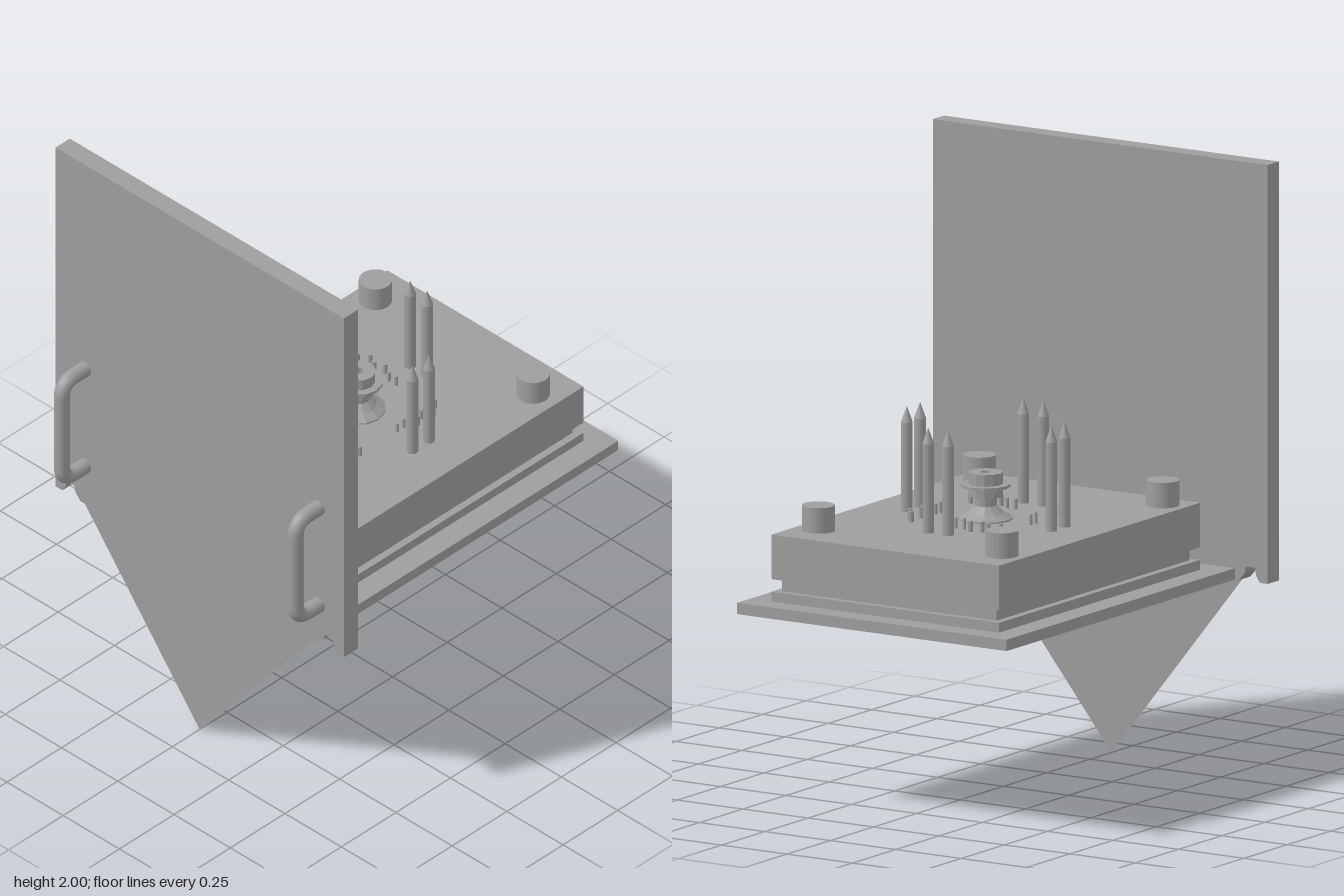
import * as THREE from 'three';

const material = new THREE.MeshStandardMaterial({ color: 0x9e9e9e });
const sheetMaterial = new THREE.MeshStandardMaterial({ color: 0x9e9e9e, side: THREE.DoubleSide });

function add(parent, geometry, name, x = 0, y = 0, z = 0, mat = material) {
  const mesh = new THREE.Mesh(geometry, mat);
  mesh.name = name;
  mesh.position.set(x, y, z);
  parent.add(mesh);
  return mesh;
}

const toShape = (points) => new THREE.Shape(points.map(([x, y]) => new THREE.Vector2(x, y)));

const rectangle = (Type, x, z0, z1) => new Type([
  new THREE.Vector2(-x, -z1), new THREE.Vector2(x, -z1),
  new THREE.Vector2(x, -z0), new THREE.Vector2(-x, -z0),
]);

// Horizontal rectangular frame between heights y0 and y1, with an optional opening
function frame(parent, name, outer, inner, y0, y1) {
  const shape = rectangle(THREE.Shape, ...outer);
  if (inner) shape.holes.push(rectangle(THREE.Path, ...inner));
  const geometry = new THREE.ExtrudeGeometry(shape, { depth: y1 - y0, bevelEnabled: false });
  geometry.rotateX(-Math.PI / 2);
  add(parent, geometry, name, 0, y0, 0);
}

// Upright cylinder between two heights
function rod(parent, name, r, x, z, y0, y1, sides) {
  add(parent, new THREE.CylinderGeometry(r, r, y1 - y0, sides), name, x, (y0 + y1) / 2, z);
}

// Thick door panel with a notch near each lower corner
function panelGeometry() {
  const half = [[0.51, 0.635], [0.53, 0.635], [0.552, 0.66], [0.556, 0.682],
    [0.592, 0.682], [0.595, 0.657], [0.61, 0.635], [0.64, 0.635], [0.64, 2]];
  const mirrored = half.map(([x, y]) => [-x, y]).reverse();
  return new THREE.ExtrudeGeometry(toShape([...half, ...mirrored]), { depth: 0.065, bevelEnabled: false });
}

// Rounded D-shaped pull handle
function handleGeometry() {
  const v = (y, z) => new THREE.Vector3(0, y, z);
  const path = new THREE.CurvePath();
  const z0 = 0.61, z1 = 0.732, low = 0.79, high = 1.18, r = 0.055;
  path.add(new THREE.LineCurve3(v(low, z0), v(low, z1 - r)));
  path.add(new THREE.QuadraticBezierCurve3(v(low, z1 - r), v(low, z1), v(low + r, z1)));
  path.add(new THREE.LineCurve3(v(low + r, z1), v(high - r, z1)));
  path.add(new THREE.QuadraticBezierCurve3(v(high - r, z1), v(high, z1), v(high, z1 - r)));
  path.add(new THREE.LineCurve3(v(high, z1 - r), v(high, z0)));
  return new THREE.TubeGeometry(path, 80, 0.026, 16);
}

export function createModel() {
  const model = new THREE.Group();
  model.name = 'panelWithPinBlock';

  // Panel, with a thin pointed sheet hanging flush with its front face
  add(model, panelGeometry(), 'frontPanel', 0, 0, 0.56);
  const point = new THREE.ShapeGeometry(toShape([[0, 0], [0.51, 0.635], [-0.51, 0.635]]));
  add(model, point, 'pointedSheet', 0, 0, 0.625, sheetMaterial);
  const handle = handleGeometry();
  add(model, handle, 'rightHandle', -0.508);
  add(model, handle, 'leftHandle', 0.53);

  // Hollow stepped housing, open underneath
  const housing = new THREE.Group();
  housing.name = 'housing';
  model.add(housing);
  const opening = [0.375, -0.62, 0.42];
  frame(housing, 'baseFlange', [0.515, -0.76, 0.56], [0.43, -0.675, 0.475], 0.635, 0.672);
  frame(housing, 'lowerStep', [0.435, -0.683, 0.48], opening, 0.672, 0.704);
  frame(housing, 'grooveStep', [0.41, -0.658, 0.455], opening, 0.704, 0.745);
  frame(housing, 'blockWalls', [0.435, -0.683, 0.48], opening, 0.745, 0.872);
  frame(housing, 'blockTop', [0.435, -0.683, 0.48], null, 0.872, 0.89);

  // Corner posts
  for (const x of [-0.355, 0.346])
    for (const z of [-0.545, 0.385]) rod(model, 'cornerPost', 0.053, x, z, 0.855, 0.973, 32);

  // Everything on the deck is arranged around this centre
  const deck = new THREE.Group();
  deck.name = 'pinArray';
  deck.position.set(0, 0, -0.102);
  model.add(deck);

  // Pedestal with flared foot, collar and bored top
  const profile = [[0, 0.865], [0.088, 0.865], [0.088, 0.895], [0.06, 0.912], [0.036, 0.935],
    [0.036, 0.965], [0.055, 0.965], [0.055, 0.996], [0.08, 0.996], [0.08, 1.005],
    [0.055, 1.005], [0.055, 1.043], [0.017, 1.043], [0.017, 1.0], [0, 1.0]];
  const pedestal = new THREE.LatheGeometry(profile.map(([x, y]) => new THREE.Vector2(x, y)), 12);
  const flat = pedestal.toNonIndexed();
  flat.computeVertexNormals();
  add(deck, flat, 'pedestal');

  // Pairs of tall pointed guide pins on four sides
  const guidePin = (x, z) => {
    rod(deck, 'guidePin', 0.019, x, z, 0.83, 1.18, 16);
    add(deck, new THREE.ConeGeometry(0.019, 0.052, 16), 'guidePinTip', x, 1.206, z);
  };
  for (const s of [-1, 1])
    for (const t of [-0.038, 0.038]) {
      guidePin(t, s * 0.275);
      guidePin(s * 0.276, t);
    }

  // Zigzag rows of small contacts, repeated by quarter turns
  const contacts = [[-0.171, -0.171, 0.008], [-0.139, -0.197, 0.008], [-0.104, -0.178, 0.008],
    [-0.07, -0.194, 0.008], [-0.031, -0.171, 0.006], [0, -0.172, 0.006]];
  for (let k = 0; k < 4; k++) {
    const row = new THREE.Group();
    row.name = 'contactRow';
    row.rotation.y = k * Math.PI / 2;
    deck.add(row);
    for (const [x, z, r] of contacts) rod(row, 'contact', r, x, z, 0.86, 0.925, 10);
  }
  return model;
}
